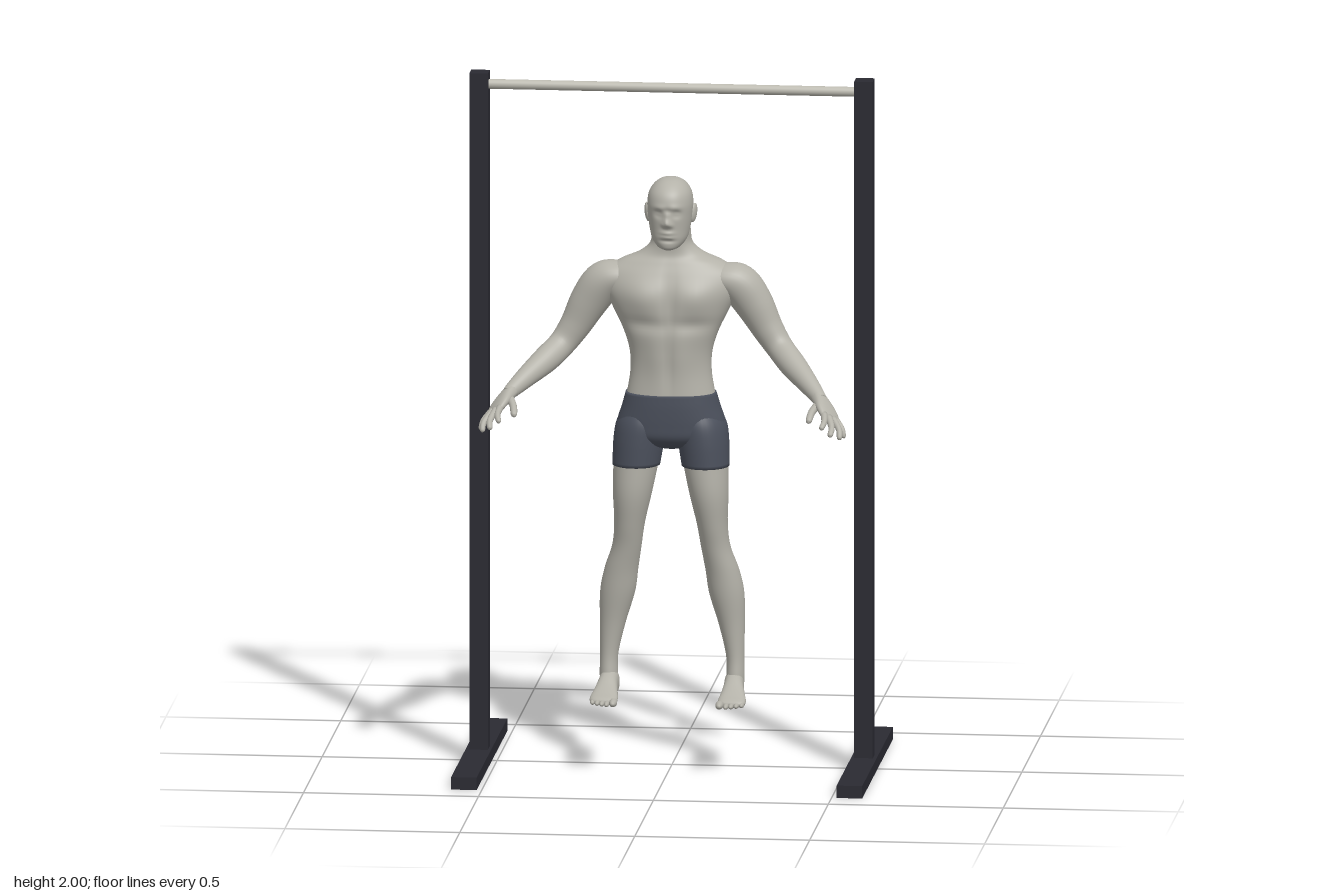
import * as THREE from 'three';

const mat = (name, color) => Object.assign(new THREE.MeshStandardMaterial({ color }), { name });
const V = (x, y, z) => new THREE.Vector3(x, y, z);
const UP = V(0, 1, 0), FWD = V(0, 0, 1), SIDE = V(1, 0, 0);
const g = (d, w) => Math.exp(-((d / w) ** 2));

// Smooth skin over elliptical sections [x, y, z, a, b]; a lies along ref, b across it.
// With an axis all rings are parallel, otherwise they follow the path.
function loft(sections, { s = 1, axis, ref = SIDE, rows = 24, sides = 24, power = 2, sculpt } = {}) {
  const path = new THREE.CatmullRomCurve3(sections.map(q => V(q[0] * s, q[1], q[2])), false, 'catmullrom');
  const size = new THREE.CatmullRomCurve3(sections.map(q => V(q[3], q[4], 0)), false, 'catmullrom');
  const refS = V(ref.x * s, ref.y, ref.z);
  const first = path.getPoint(0), last = path.getPoint(1);
  const heading = axis && axis.clone().multiplyScalar(Math.sign(last.clone().sub(first).dot(axis)));
  const pos = [], index = [];
  for (let i = 0; i <= rows; i++) {
    const c = path.getPoint(i / rows), r = size.getPoint(i / rows);
    const t = heading || path.getTangent(i / rows);
    const u = refS.clone().addScaledVector(t, -refS.dot(t)).normalize();
    const v = t.clone().cross(u);
    for (let j = 0; j < sides; j++) {
      const a = (j / sides) * Math.PI * 2, cs = Math.cos(a), sn = Math.sin(a);
      const k = (n) => Math.sign(n) * Math.abs(n) ** (2 / power);
      const p = c.clone().addScaledVector(u, k(cs) * Math.max(r.x, 0.001))
        .addScaledVector(v, k(sn) * Math.max(r.y, 0.001));
      if (sculpt) sculpt(p, (p.z - c.z) / Math.max(r.y, 0.001));
      pos.push(p.x, p.y, p.z);
      if (i < rows) {
        const m = i * sides + j, n = i * sides + (j + 1) % sides;
        index.push(m, n, m + sides, n, n + sides, m + sides);
      }
    }
  }
  // end caps
  const e = pos.length / 3;
  pos.push(first.x, first.y, first.z, last.x, last.y, last.z);
  for (let j = 0; j < sides; j++) {
    const n = (j + 1) % sides, o = rows * sides;
    index.push(e, n, j, e + 1, o + j, o + n);
  }
  const geo = new THREE.BufferGeometry();
  geo.setAttribute('position', new THREE.Float32BufferAttribute(pos, 3));
  geo.setIndex(index);
  geo.computeVertexNormals();
  return geo;
}

// Horizontal section from its half width, front z and back z
const band = (y, x, w, front, back) => [x, y, (front + back) / 2, w, (front - back) / 2];

// Chest, abdomen, shoulder blades and spine groove
function sculptTorso(p, f) {
  const x = Math.abs(p.x), y = p.y;
  if (f > 0) {
    p.z += f * (0.016 * g(x - 0.075, 0.06) * g(y - 1.375, 0.05)
      - 0.008 * g(x, 0.012) * g(y - 1.36, 0.08)
      - 0.008 * g(x - 0.07, 0.07) * g(y - 1.295, 0.02)
      - 0.004 * g(x, 0.01) * g(y - 1.17, 0.09)
      + 0.006 * g(x - 0.035, 0.03) * g(y - 1.2, 0.09));
  } else {
    p.z += -f * (0.018 * g(x, 0.022) * g(y - 1.28, 0.17)
      - 0.012 * g(x - 0.1, 0.055) * g(y - 1.38, 0.07));
  }
}

// Brow, eye sockets, nose, lips and chin
function sculptHead(p, f) {
  if (f < 0.2) return;
  const x = Math.abs(p.x), y = p.y;
  p.z += 0.003 * g(x - 0.022, 0.02) * g(y - 1.642, 0.009)
    - 0.009 * g(x - 0.026, 0.012) * g(y - 1.624, 0.011)
    + 0.004 * g(x - 0.026, 0.009) * g(y - 1.623, 0.006)
    + 0.016 * g(x, 0.009) * g(y - 1.597, 0.012)
    + 0.004 * g(x, 0.008) * g(y - 1.618, 0.014)
    - 0.004 * g(x, 0.012) * g(y - 1.634, 0.008)
    + 0.005 * g(x - 0.011, 0.006) * g(y - 1.592, 0.007)
    + 0.006 * g(x, 0.018) * g(y - 1.568, 0.006)
    + 0.005 * g(x, 0.018) * g(y - 1.556, 0.005)
    - 0.004 * g(x, 0.022) * g(y - 1.545, 0.005);
}

// Buttocks and the crease between them
function sculptHips(p, f) {
  if (f < 0) {
    const x = Math.abs(p.x);
    p.z += -f * (0.022 * g(x, 0.016) * g(p.y - 0.99, 0.06) - 0.008 * g(x - 0.07, 0.045) * g(p.y - 1.01, 0.045));
  }
}

export function createModel() {
  const model = new THREE.Group();
  model.name = 'pullUpBarWithFigure';
  const skin = mat('skin', 0xb4b2a9), cloth = mat('shorts cloth', 0x4b505c);
  const frame = mat('dark frame', 0x2a2a32), steel = mat('bar steel', 0xbdbbb1);
  const add = (name, geo, material, x = 0, y = 0, z = 0) => {
    const m = new THREE.Mesh(geo, material);
    m.name = name;
    m.position.set(x, y, z);
    model.add(m);
    return m;
  };

  // Frame
  const bar = add('pullUpBar', new THREE.CylinderGeometry(0.014, 0.014, 1.06, 24), steel, 0, 1.965, 0);
  bar.rotation.z = Math.PI / 2;
  for (const s of [1, -1]) {
    add('post', new THREE.BoxGeometry(0.053, 1.98, 0.053), frame, s * 0.55, 1.01, 0);
    add('baseFoot', new THREE.BoxGeometry(0.073, 0.036, 0.824), frame, s * 0.551, 0.018, 0);
  }

  // Torso with neck
  add('torso', loft([
    band(1.08, 0, 0.127, 0.104, -0.056), band(1.15, 0, 0.116, 0.1, -0.052),
    band(1.21, 0, 0.118, 0.103, -0.058), band(1.27, 0, 0.136, 0.108, -0.066),
    band(1.33, 0, 0.165, 0.107, -0.072), band(1.39, 0, 0.192, 0.1, -0.072),
    band(1.435, 0, 0.19, 0.085, -0.068), band(1.467, 0, 0.148, 0.07, -0.062),
    band(1.49, 0, 0.094, 0.06, -0.055), band(1.52, 0, 0.061, 0.06, -0.042),
    band(1.56, 0, 0.055, 0.066, -0.034), band(1.6, 0, 0.05, 0.066, -0.03),
  ], { axis: UP, rows: 66, sides: 64, power: 2.2, sculpt: sculptTorso }), skin);

  // Head
  add('head', loft([
    band(1.516, 0, 0.016, 0.112, 0.06), band(1.524, 0, 0.034, 0.122, 0.02),
    band(1.545, 0, 0.05, 0.126, -0.01), band(1.575, 0, 0.058, 0.127, -0.028),
    band(1.61, 0, 0.063, 0.13, -0.038), band(1.645, 0, 0.065, 0.132, -0.043),
    band(1.675, 0, 0.06, 0.124, -0.037), band(1.697, 0, 0.046, 0.104, -0.02),
    band(1.711, 0, 0.026, 0.078, 0.008), band(1.716, 0, 0.002, 0.046, 0.042),
  ], { axis: UP, rows: 80, sides: 72, power: 2.15, sculpt: sculptHead }), skin);

  // Shorts
  add('shortsHips', loft([
    band(1.09, 0, 0.129, 0.106, -0.058), band(1.05, 0, 0.14, 0.107, -0.07),
    band(1.0, 0, 0.155, 0.105, -0.076), band(0.965, 0, 0.15, 0.1, -0.07),
    band(0.94, 0, 0.11, 0.078, -0.052), band(0.925, 0, 0.03, 0.04, -0.02),
  ], { axis: UP, rows: 30, sides: 56, power: 2.3, sculpt: sculptHips }), cloth);

  for (const s of [1, -1]) {
    const limb = (name, sections, material, o = {}) => add(name, loft(sections, { s, ...o }), material);

    limb('shortsLeg', [
      band(1.04, 0.08, 0.055, 0.085, -0.055), band(1.0, 0.085, 0.072, 0.1, -0.076),
      band(0.95, 0.092, 0.073, 0.104, -0.068), band(0.878, 0.099, 0.068, 0.103, -0.047),
    ], cloth, { axis: UP, sides: 36 });

    limb('leg', [
      band(0.9, 0.098, 0.066, 0.1, -0.045), band(0.8, 0.109, 0.056, 0.1, -0.036),
      band(0.71, 0.118, 0.044, 0.083, -0.03), band(0.64, 0.127, 0.042, 0.066, -0.034),
      band(0.57, 0.144, 0.048, 0.054, -0.054), band(0.5, 0.156, 0.05, 0.045, -0.06),
      band(0.41, 0.17, 0.037, 0.031, -0.051), band(0.32, 0.18, 0.026, 0.025, -0.04),
      band(0.26, 0.181, 0.026, 0.03, -0.04), band(0.215, 0.179, 0.024, 0.03, -0.036),
    ], skin, { axis: UP, rows: 44, sides: 32 });

    limb('foot', [
      [0.178, 0.213, -0.043, 0.008, 0.01], [0.178, 0.222, -0.034, 0.022, 0.026],
      [0.178, 0.236, -0.005, 0.028, 0.041], [0.18, 0.231, 0.035, 0.029, 0.036],
      [0.182, 0.219, 0.075, 0.035, 0.024], [0.183, 0.211, 0.108, 0.04, 0.016],
      [0.183, 0.207, 0.13, 0.037, 0.012], [0.181, 0.206, 0.142, 0.024, 0.006],
    ], skin, { axis: FWD, rows: 28, power: 2.3 });

    // Toes, from the big toe outwards
    for (let i = 0; i < 5; i++) {
      const r = i ? 0.0078 : 0.0115;
      add('toe', new THREE.SphereGeometry(1, 14, 10), skin,
        s * (i ? 0.156 + i * 0.0142 : 0.152), 0.196 + r, 0.152 - i * i * 0.0018)
        .scale.set(r, r, i ? 0.028 : 0.031);
    }

    limb('arm', [
      [0.11, 1.415, 0.008, 0.05, 0.035], [0.155, 1.417, 0.008, 0.06, 0.047],
      [0.195, 1.4, 0.008, 0.06, 0.058], [0.235, 1.345, 0.006, 0.053, 0.055],
      [0.274, 1.275, 0.008, 0.043, 0.045], [0.311, 1.222, 0.022, 0.037, 0.039],
      [0.352, 1.184, 0.07, 0.037, 0.038], [0.4, 1.147, 0.135, 0.029, 0.03],
      [0.437, 1.117, 0.188, 0.021, 0.022], [0.447, 1.109, 0.203, 0.019, 0.018],
    ], skin, { ref: FWD, rows: 48, sides: 32 });

    // Hand
    limb('palm', [
      [0.435, 1.118, 0.185, 0.02, 0.019], [0.45, 1.104, 0.206, 0.027, 0.018],
      [0.465, 1.088, 0.23, 0.035, 0.015], [0.479, 1.07, 0.252, 0.034, 0.011],
      [0.484, 1.064, 0.26, 0.022, 0.004],
    ], skin, { ref: V(-0.65, 0.4, 0.65), rows: 18, power: 2.4 });

    const digits = [
      ['littleFinger', [0.494, 1.062, 0.236], [0.513, 1.04, 0.255], [0.52, 1.014, 0.264], 0.0075],
      ['ringFinger', [0.486, 1.068, 0.248], [0.507, 1.042, 0.28], [0.511, 1.016, 0.3], 0.0085],
      ['middleFinger', [0.475, 1.074, 0.26], [0.488, 1.052, 0.3], [0.486, 1.03, 0.329], 0.009],
      ['indexFinger', [0.463, 1.082, 0.264], [0.467, 1.068, 0.3], [0.46, 1.05, 0.326], 0.0085],
      ['thumb', [0.444, 1.103, 0.21], [0.427, 1.086, 0.255], [0.42, 1.062, 0.293], 0.0105],
    ];
    for (const [name, a, b, c, r] of digits) {
      const near = c.map((v, k) => v + (b[k] - v) * 0.2);
      limb(name, [[...a, r * 1.2, r * 1.2], [...b, r, r], [...near, r * 0.85, r * 0.85], [...c, 0.001, 0.001]],
        skin, { rows: 15, sides: 12 });
    }

    // Ear
    const ear = add('ear', new THREE.SphereGeometry(1, 18, 14), skin, s * 0.066, 1.612, 0.036);
    ear.scale.set(0.008, 0.028, 0.016);
    ear.rotation.set(-0.2, -s * 0.3, -s * 0.12);
  }
  return model;
}
